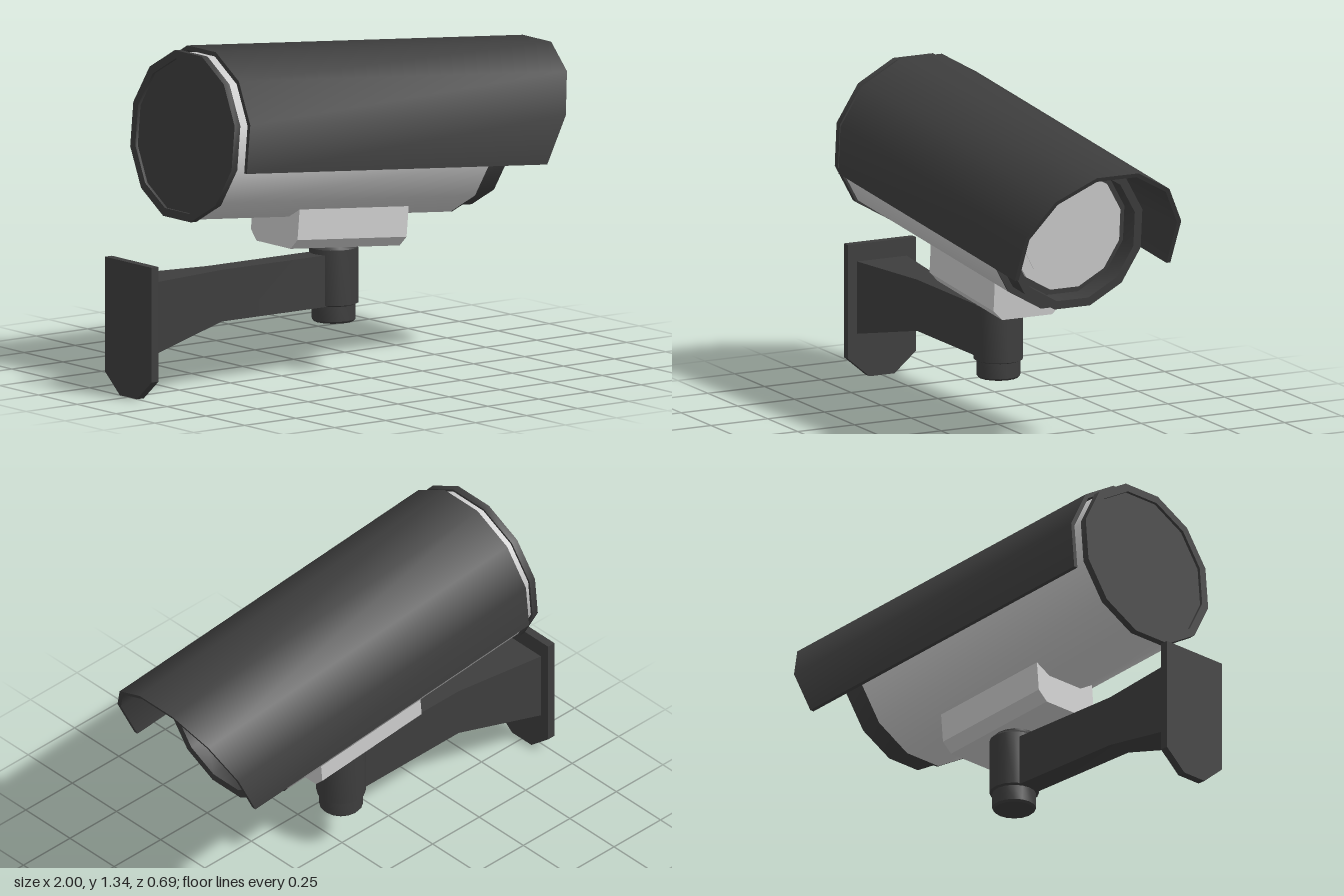
import * as THREE from 'three';
import { toCreasedNormals } from 'three/addons/utils/BufferGeometryUtils.js';

const SIDES = 12;
const grey = new THREE.MeshStandardMaterial({ color: 0xcccccc });
const dark = new THREE.MeshStandardMaterial({ color: 0x3d3d3d });
const glass = new THREE.MeshStandardMaterial({ color: 0xf4f4f4 });

function part(name, geometry, material, parent) {
  // creases sharper than one 30 degree side stay hard
  const mesh = new THREE.Mesh(toCreasedNormals(geometry, 0.6), material);
  mesh.name = name;
  parent.add(mesh);
  return mesh;
}

// twelve-sided turned part along x, flat on top; profile is [radius, x]
function turned(profile) {
  const pts = profile.map(([r, x]) => new THREE.Vector2(r, x));
  return new THREE.LatheGeometry(pts, SIDES, Math.PI / SIDES).rotateZ(-Math.PI / 2);
}

// cross-section [z, y] extruded along x
function prism(section, x0, length) {
  const shape = new THREE.Shape(section.map(([z, y]) => new THREE.Vector2(z, y)));
  return new THREE.ExtrudeGeometry(shape, { depth: length, bevelEnabled: false })
    .rotateY(Math.PI / 2).translate(x0, 0, 0);
}

// upper arc of the sunshade, from one lower edge over the top to the other
function hoodArc(radius) {
  const pts = [];
  for (let i = 0; i < 6; i++) {
    const a = Math.PI / 12 + (i * Math.PI) / 6;
    pts.push([radius * Math.cos(a), radius * Math.sin(a)]);
  }
  const side = radius * Math.cos(Math.PI / 12);
  return [[side, -0.1], ...pts, [-side, -0.1]];
}

function createHead() {
  const head = new THREE.Group();
  head.name = 'cameraHead';
  head.position.set(-0.735, 1.005, 0);
  head.rotation.z = -THREE.MathUtils.degToRad(5);

  part('housing', turned([[0, 0.02], [0.328, 0.02], [0.328, 1.281], [0, 1.281]]), grey, head);
  part('rearCap', turned([[0, 0.012], [0.305, 0.012], [0.305, 0], [0.338, 0],
    [0.338, 0.028], [0, 0.028]]), dark, head);
  part('frontPlate', turned([[0.2, 1.28], [0.328, 1.28], [0.328, 1.288], [0.2, 1.288]]), dark, head);
  part('frontCollar', turned([[0.302, 1.28], [0.302, 1.387], [0.268, 1.387],
    [0.268, 1.3], [0, 1.3]]), dark, head);
  part('lensRing', turned([[0.242, 1.29], [0.242, 1.315], [0.19, 1.315]]), grey, head);
  part('lens', turned([[0.198, 1.3], [0.198, 1.318], [0, 1.318]]), glass, head);

  // sunshade with a raked front edge
  const hood = prism([...hoodArc(0.355), ...hoodArc(0.337).reverse()], 0, 1);
  const p = hood.attributes.position;
  for (let i = 0; i < p.count; i++) {
    const front = 1.54 + ((p.getY(i) + 0.1) / 0.443) * 0.172;
    p.setX(i, p.getX(i) > 0.5 ? front : 0.064);
  }
  part('sunshade', hood, dark, head);

  // chamfered block under the housing
  part('mountBlock', prism([[-0.11, -0.44], [0.11, -0.44], [0.15, -0.4], [0.15, -0.24],
    [-0.15, -0.24], [-0.15, -0.4]], 0.486, 0.536), grey, head);
  return head;
}

function createBracket() {
  const bracket = new THREE.Group();
  bracket.name = 'wallBracket';

  part('wallPlate', prism([[-0.055, 0], [0.055, 0], [0.15, 0.08], [0.15, 0.535],
    [-0.15, 0.535], [-0.15, 0.08]], -1, 0.034), dark, bracket);

  // arm narrowing from the plate to a straight bar
  const sections = [
    { x: -0.97, bottom: 0.175, half: 0.11 },
    { x: -0.58, bottom: 0.26, half: 0.05 },
    { x: 0, bottom: 0.26, half: 0.05 },
  ];
  const arm = new THREE.BoxGeometry(2, 1, 2, 2, 1, 1);
  const p = arm.attributes.position;
  for (let i = 0; i < p.count; i++) {
    const s = sections[Math.round(p.getX(i) + 1)];
    p.setXYZ(i, s.x, p.getY(i) > 0 ? 0.465 : s.bottom, p.getZ(i) * s.half);
  }
  part('arm', arm, dark, bracket);

  // pivot post and its foot
  const post = [[0, 0.192], [0.079, 0.192], [0.086, 0.2], [0.086, 0.26], [0.097, 0.265],
    [0.097, 0.485], [0.085, 0.497], [0.085, 0.53], [0, 0.53]];
  const pivot = new THREE.LatheGeometry(post.map(([r, y]) => new THREE.Vector2(r, y)), 16);
  part('pivotPost', pivot, dark, bracket).position.x = 0.005;
  return bracket;
}

export function createModel() {
  const model = new THREE.Group();
  model.name = 'securityCamera';
  model.add(createHead(), createBracket());
  return model;
}
